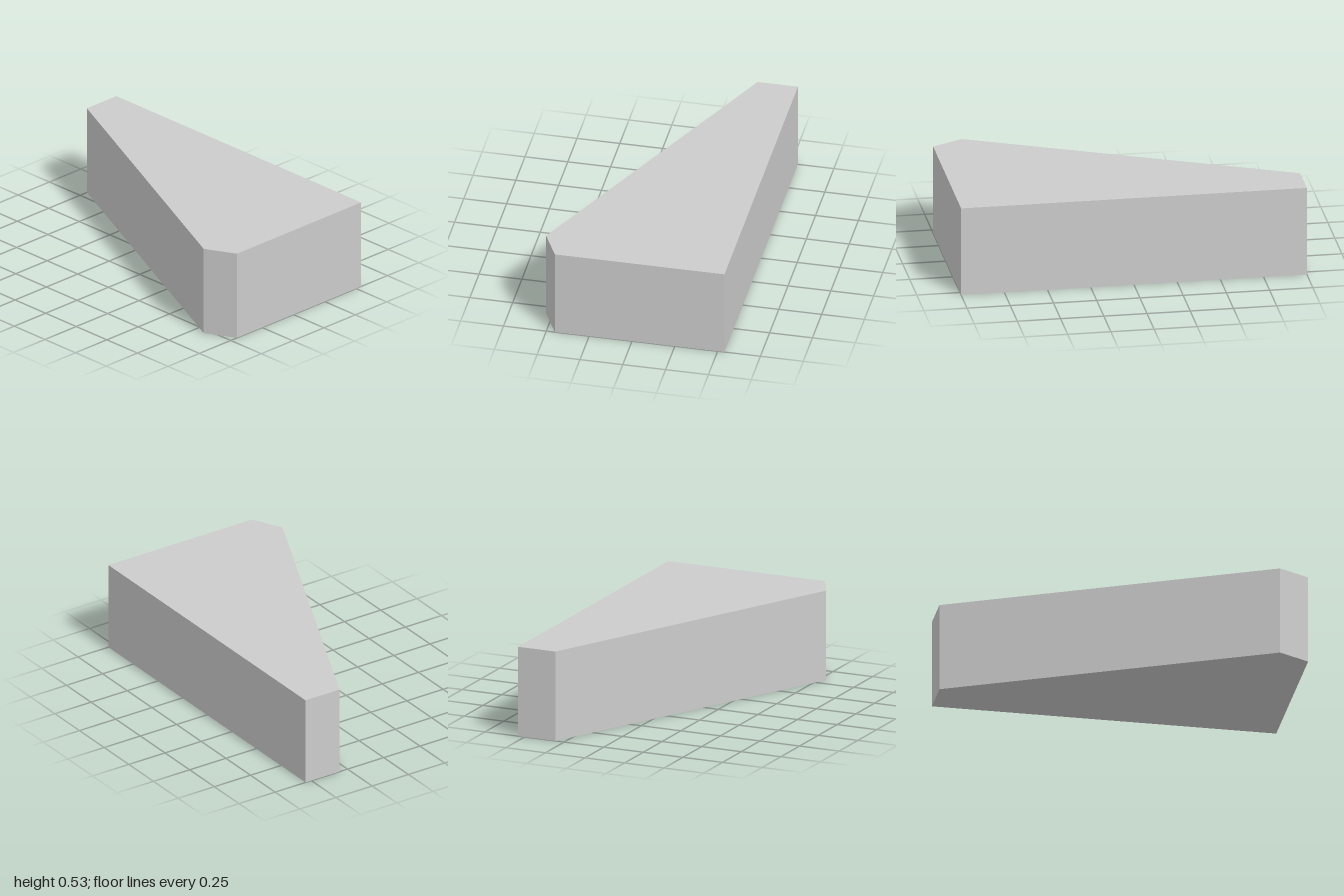
import * as THREE from 'three';

const HEIGHT = 0.53;

// Plan outline as [x, z] corners
const OUTLINE = [
  [-0.45, 1], [0.54, 1], [0.54, -1], [0.305, -1], [-0.54, 0.82],
];

export function createModel() {
  const group = new THREE.Group();
  group.name = 'taperedBlock';

  // Solid wedge: the outline extruded straight up from the ground
  const shape = new THREE.Shape(OUTLINE.map(([x, z]) => new THREE.Vector2(x, -z)));
  const geometry = new THREE.ExtrudeGeometry(shape, { depth: HEIGHT, bevelEnabled: false });
  geometry.rotateX(-Math.PI / 2);

  const material = new THREE.MeshStandardMaterial({ color: 0xcccccc, flatShading: true });
  const block = new THREE.Mesh(geometry, material);
  block.name = 'wedgeBody';
  group.add(block);
  return group;
}
